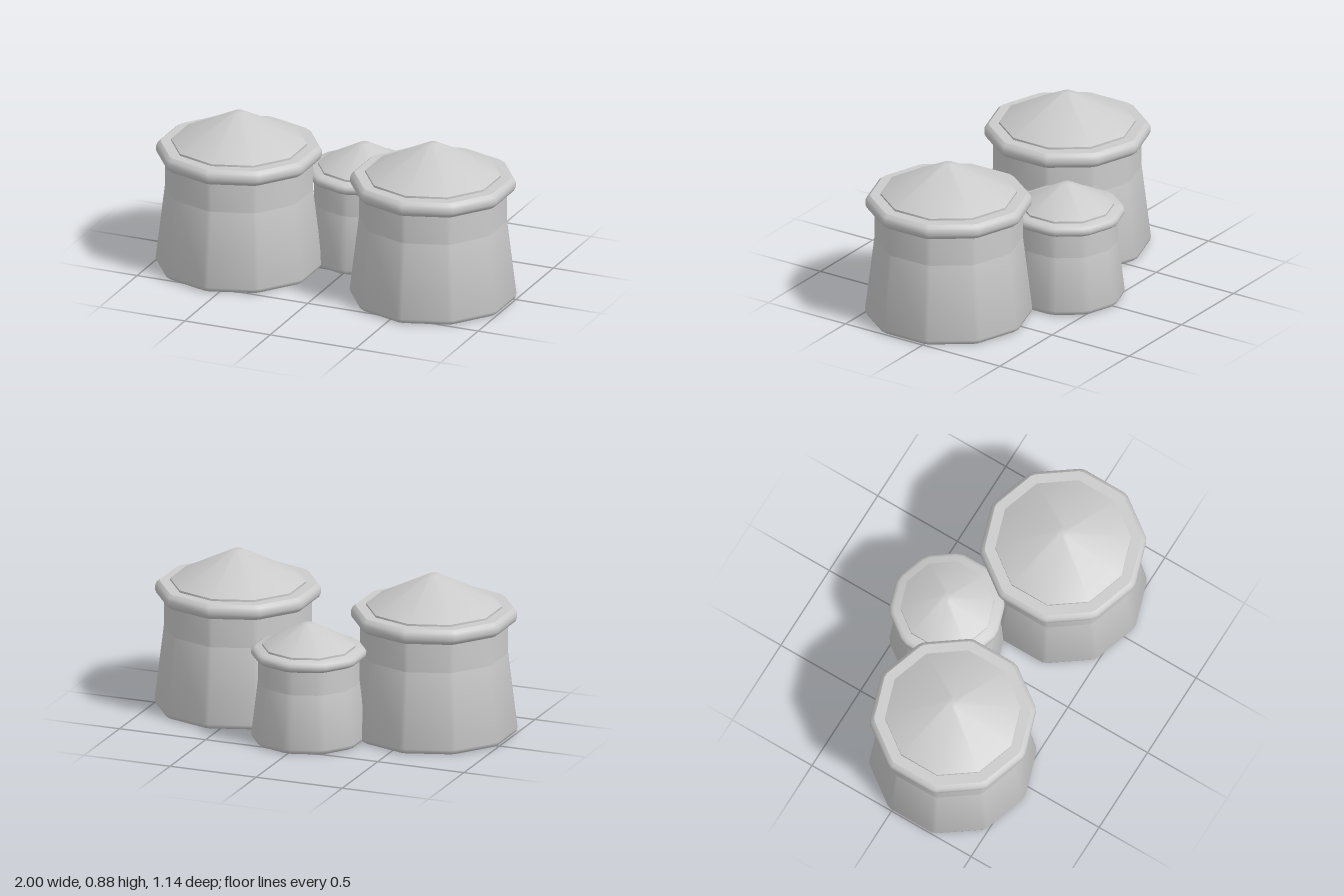
import * as THREE from 'three';
import { toCreasedNormals } from 'three/addons/utils/BufferGeometryUtils.js';

const material = new THREE.MeshStandardMaterial({ color: 0xcccccc });
const SIDES = 10;
const STEP = (Math.PI * 2) / SIDES;

// Ten-sided turned solid, profile given as [radius, height] from bottom to top.
// A chamfer angle (radians) cuts a narrow strip off each upright corner.
function turned(name, profile, chamfer = 0) {
  const points = profile.map(([r, y]) => new THREE.Vector2(r, y));
  const segments = chamfer ? SIDES * 2 : SIDES;
  const geometry = new THREE.LatheGeometry(points, segments);
  if (chamfer) {
    const pos = geometry.attributes.position;
    const scale = Math.cos(STEP / 2) / Math.cos(STEP / 2 - chamfer);
    for (let i = 0; i < pos.count; i++) {
      const column = Math.floor(i / points.length) % segments;
      const p = points[i % points.length];
      const angle = Math.floor(column / 2) * STEP + (column % 2 ? chamfer : -chamfer);
      pos.setXYZ(i, p.x * scale * Math.sin(angle), p.y, p.x * scale * Math.cos(angle));
    }
  }
  const mesh = new THREE.Mesh(toCreasedNormals(geometry, 0.68), material);
  mesh.name = name;
  return mesh;
}

// Tapered body, straight neck, rounded collar and shallow pointed roof
function createTower(name, s) {
  const tower = new THREE.Group();
  tower.name = name;
  const { base, neck, collar, roof, chamfer } = s;
  const edge = s.collarEdge;
  const [low, high] = s.collarY;
  const height = high - low;
  tower.add(
    turned('body', [
      [0, 0], [base - 0.017, 0], [base - 0.006, 0.008], [base, 0.026],
      [neck, s.neckY], [0, s.neckY],
    ], chamfer),
    turned('neck', [[neck, s.neckY], [neck, low + height * 0.3]], chamfer),
    turned('collar', [
      [neck - 0.02, low], [collar - edge, low],
      [collar - edge * 0.3, low + height * 0.17], [collar, low + height * 0.36],
      [collar, low + height * 0.64], [collar - edge * 0.3, low + height * 0.83],
      [collar - edge, high], [0, high],
    ], chamfer),
    turned('roof', [
      [roof, high - 0.01], [roof, high + 0.011],
      [0.03, s.top], [0, s.top],
    ]),
  );
  return tower;
}

export function createModel() {
  const model = new THREE.Group();
  model.name = 'towers';

  const large = {
    base: 0.453, neck: 0.402, collar: 0.45, roof: 0.366, chamfer: 0.03,
    neckY: 0.447, collarY: [0.614, 0.697], collarEdge: 0.025, top: 0.88,
  };
  const small = {
    base: 0.315, neck: 0.279, collar: 0.315, roof: 0.252, chamfer: 0.07,
    neckY: 0.325, collarY: [0.456, 0.517], collarEdge: 0.025, top: 0.65,
  };

  // Two large towers side by side in front
  for (const side of [1, -1]) {
    const tower = createTower(side > 0 ? 'leftTower' : 'rightTower', large);
    tower.position.set(side * 0.569, 0, 0.123);
    model.add(tower);
  }

  // Smaller tower tucked in behind them
  const back = createTower('backTower', small);
  back.position.set(0, 0, -0.26);
  model.add(back);
  return model;
}
